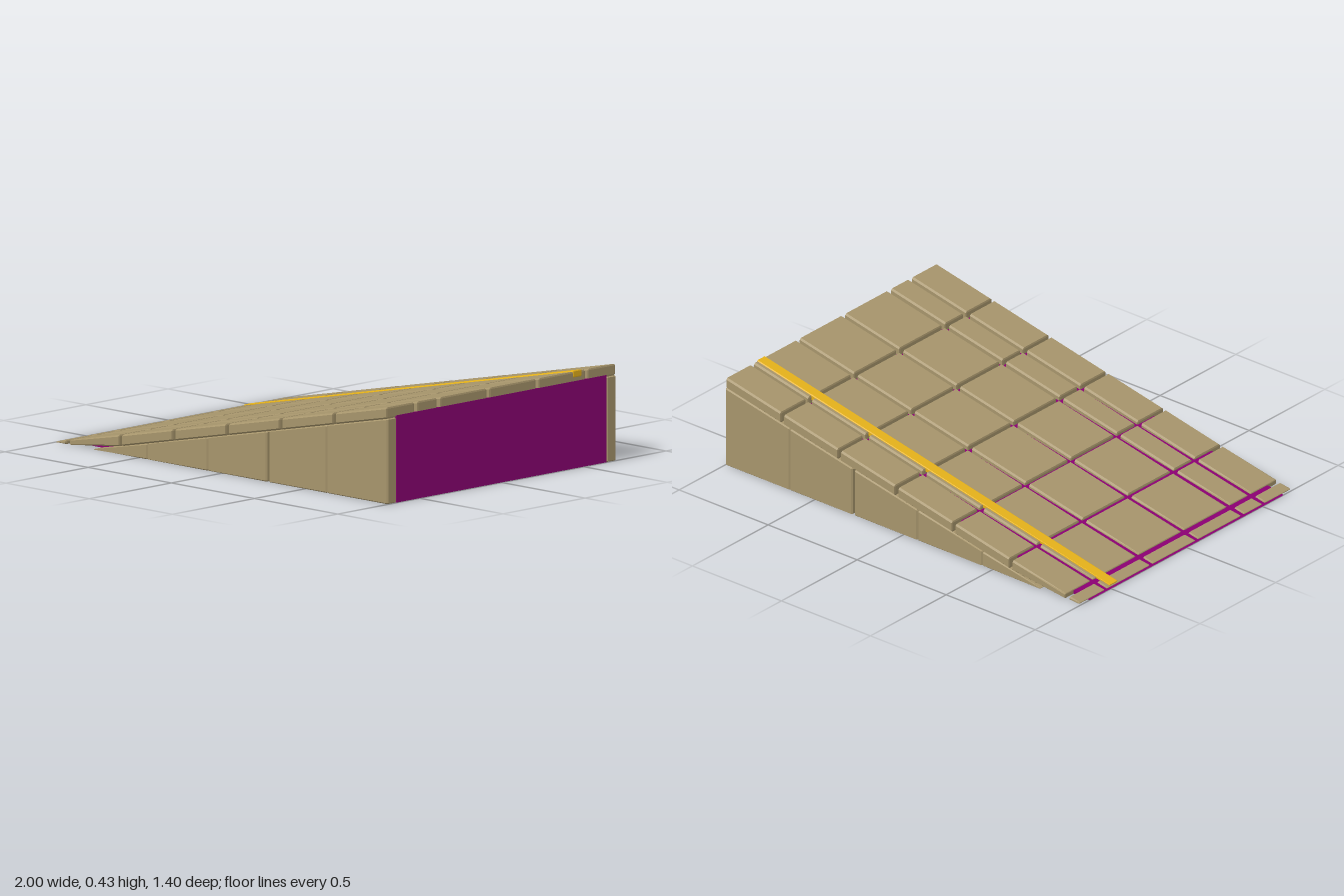
import * as THREE from 'three';

const mat = (name, color) => {
  const m = new THREE.MeshStandardMaterial({ color });
  m.name = name;
  return m;
};

// Height of the sloping deck, and of the underside of its slabs
const deckTop = (x) => 0.003 + 0.21 * (x + 1);
const deckBottom = (x) => Math.max(0, deckTop(x) - 0.05);

// Six-sided block with chamfered edges; bottom and top follow yLow(x) and yHigh(x).
function chamferedBlock([x0, x1], [z0, z1], yLow, yHigh, bevel) {
  const lerp = THREE.MathUtils.lerp;
  const thickness = Math.max(yHigh(x0) - yLow(x0), yHigh(x1) - yLow(x1));
  const size = [x1 - x0, thickness, z1 - z0];
  const inset = size.map((s, i) => Math.min(0.6, (2 * bevel[i]) / s));
  const point = (s, axis) => new THREE.Vector3(...s.map((v, i) => (i === axis ? v : v * (1 - inset[i]))));
  const place = (p) => {
    const u = (p.x + 1) / 2, v = (p.y + 1) / 2, w = (p.z + 1) / 2;
    const low = lerp(yLow(x0), yLow(x1), u), high = lerp(yHigh(x0), yHigh(x1), u);
    return [lerp(x0, x1, u), lerp(low, high, v), lerp(z0, z1, w)];
  };
  const out = [];
  const addPolygon = (pts) => {
    const normal = pts[1].clone().sub(pts[0]).cross(pts[2].clone().sub(pts[0]));
    if (normal.dot(pts[0]) < 0) pts.reverse();
    for (let i = 1; i < pts.length - 1; i++) {
      out.push(...place(pts[0]), ...place(pts[i]), ...place(pts[i + 1]));
    }
  };
  const signs = [-1, 1];
  const corner = (a, va, b, vb, c, vc) => {
    const s = [0, 0, 0];
    s[a] = va; s[b] = vb; s[c] = vc;
    return s;
  };

  for (let a = 0; a < 3; a++) {
    const b = (a + 1) % 3, c = (a + 2) % 3;
    // Flat faces across axis a
    for (const k of signs) {
      addPolygon([[-1, -1], [1, -1], [1, 1], [-1, 1]].map(([p, q]) => point(corner(a, k, b, p, c, q), a)));
    }
    // Chamfers along axis c
    for (const p of signs) for (const q of signs) {
      const s = corner(a, p, b, q, c, -1), e = corner(a, p, b, q, c, 1);
      addPolygon([point(s, a), point(e, a), point(e, b), point(s, b)]);
    }
  }
  // Corner triangles
  for (const x of signs) for (const y of signs) for (const z of signs) {
    addPolygon([0, 1, 2].map((axis) => point([x, y, z], axis)));
  }

  const g = new THREE.BufferGeometry();
  g.setAttribute('position', new THREE.Float32BufferAttribute(out, 3));
  g.computeVertexNormals();
  return g;
}

export function createModel() {
  const model = new THREE.Group();
  model.name = 'ramp';
  const stone = mat('stone', 0xa6946b);
  const purple = mat('purpleCore', 0x8b0073);
  const gold = mat('gold', 0xe4b11a);

  const add = (parent, name, geometry, material) => {
    const mesh = new THREE.Mesh(geometry, material);
    mesh.name = name;
    parent.add(mesh);
  };
  const addGroup = (name) => {
    const g = new THREE.Group();
    g.name = name;
    model.add(g);
    return g;
  };

  // Solid wedge seen through the joints
  const wedge = new THREE.Shape([[-1, 0], [0.997, 0], [0.997, 0.38]].map(([x, y]) => new THREE.Vector2(x, y)));
  const coreGeometry = new THREE.ExtrudeGeometry(wedge, { depth: 1.28, bevelEnabled: false });
  coreGeometry.translate(0, 0, -0.64);
  add(model, 'core', coreGeometry, purple);

  // Deck slabs in a grid
  const columns = [[-0.99, -0.934], [-0.91, -0.614], [-0.595, -0.294], [-0.275, 0.027],
    [0.047, 0.349], [0.368, 0.669], [0.689, 0.994]];
  const rows = [[-0.698, -0.53], [-0.514, -0.231], [-0.213, 0.069], [0.087, 0.37], [0.39, 0.51], [0.528, 0.698]];
  const deck = addGroup('deck');
  for (const column of columns) for (const row of rows) {
    add(deck, 'deckSlab', chamferedBlock(column, row, deckBottom, deckTop, [0.002, 0.007, 0.008]), stone);
  }

  // Side cladding below the deck, on both sides; only one joint is open to the core
  const panels = [[-0.77, -0.444], [-0.444, -0.081], [-0.081, 0.275], [0.285, 0.636], [0.636, 1]];
  for (const [name, depth] of [['frontCladding', [0.64, 0.698]], ['backCladding', [-0.698, -0.64]]]) {
    const side = addGroup(name);
    for (const panel of panels) {
      add(side, 'claddingPanel', chamferedBlock(panel, depth, () => 0, deckBottom, [0.006, 0.005, 0.006]), stone);
    }
  }

  // Gold guide strip laid along the slope
  const stripTop = (x) => deckTop(x) + 0.004;
  const stripBottom = (x) => Math.max(0, deckTop(x) - 0.026);
  add(model, 'guideStrip', chamferedBlock([-0.985, 0.996], [-0.492, -0.438], stripBottom, stripTop, [0.002, 0.004, 0.004]), gold);
  return model;
}
